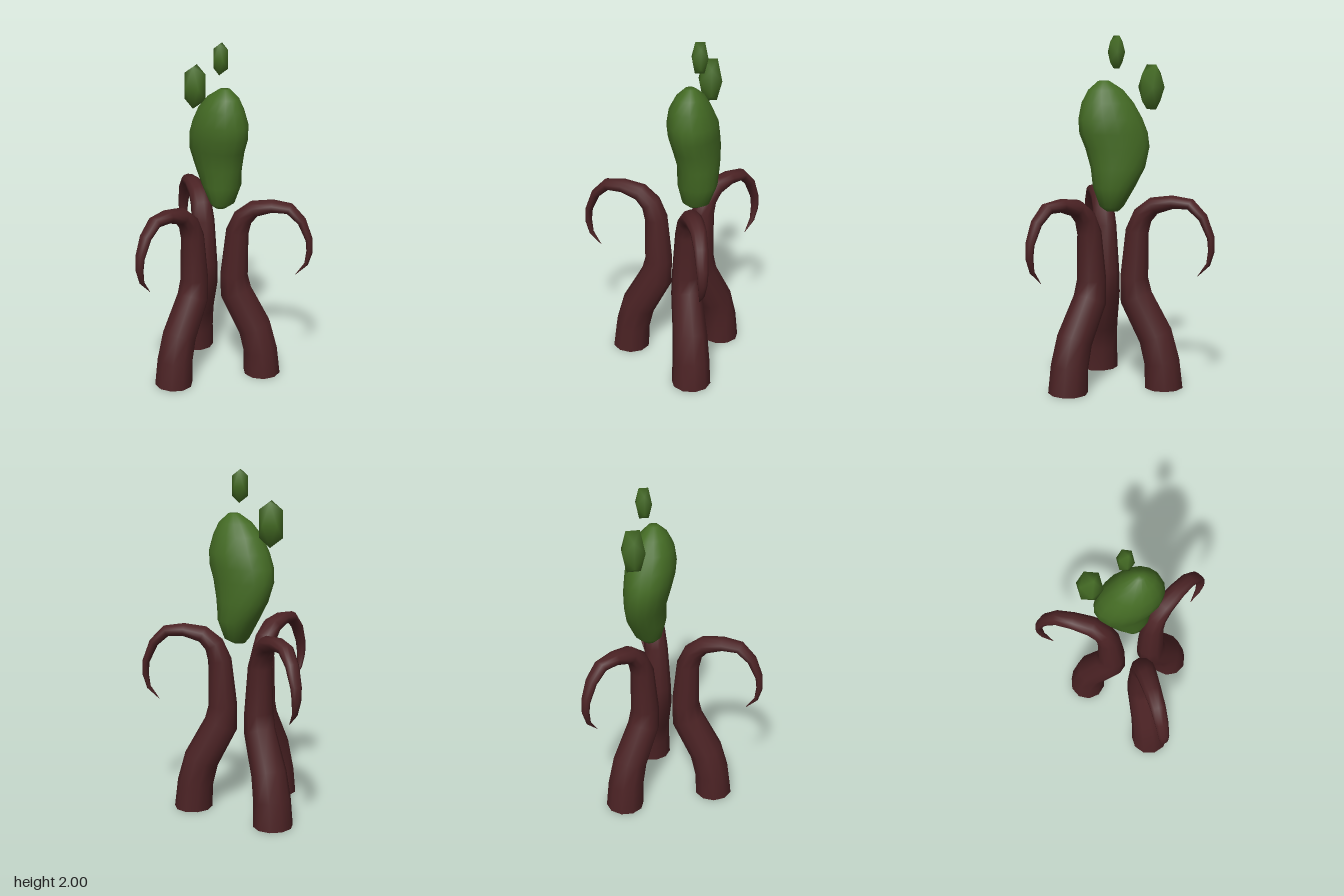
import * as THREE from 'three';
import { mergeVertices } from 'three/addons/utils/BufferGeometryUtils.js';

const AXIS_Z = -0.148; // the three tentacles turn about this line

// Closed skin over a list of rings (arrays of Vector3, counter-clockwise seen from the end)
function skin(rings, flatStart) {
  const n = rings[0].length, pos = [], idx = [];
  rings.forEach(r => r.forEach(p => pos.push(p.x, p.y, p.z)));
  for (let i = 0; i < rings.length - 1; i++) {
    for (let j = 0; j < n; j++) {
      const a = i * n + j, b = i * n + (j + 1) % n;
      idx.push(a, b, b + n, a, b + n, a + n);
    }
  }
  const cap = (ring, flip, base) => {
    const c = ring.reduce((s, p) => s.add(p), new THREE.Vector3()).divideScalar(n);
    if (base < 0) { // own vertices keep the rim sharp
      base = pos.length / 3;
      ring.forEach(p => pos.push(p.x, p.y, p.z));
    }
    const k = pos.length / 3;
    pos.push(c.x, c.y, c.z);
    for (let j = 0; j < n; j++) {
      const a = base + j, b = base + (j + 1) % n;
      flip ? idx.push(k, b, a) : idx.push(k, a, b);
    }
  };
  cap(rings[0], true, flatStart ? -1 : 0);
  cap(rings[rings.length - 1], false, (rings.length - 1) * n);
  const g = new THREE.BufferGeometry();
  g.setAttribute('position', new THREE.Float32BufferAttribute(pos, 3));
  g.setIndex(idx);
  g.computeVertexNormals();
  return g;
}

// Tentacle: z, y, half thickness in the bending plane, half width across
function tentacleGeometry() {
  const path = [
    [0.175, 0, 0.112, 0.115], [0.163, 0.15, 0.105, 0.109], [0.125, 0.296, 0.103, 0.102],
    [0.008, 0.515, 0.099, 0.09], [-0.004, 0.63, 0.083, 0.084], [0.012, 0.9, 0.068, 0.07],
    [0.045, 0.99, 0.059, 0.064], [0.11, 1.05, 0.05, 0.06], [0.22, 1.075, 0.038, 0.052],
    [0.32, 1.067, 0.033, 0.046], [0.394, 0.995, 0.027, 0.04], [0.44, 0.885, 0.021, 0.033],
    [0.445, 0.81, 0.019, 0.027], [0.427, 0.73, 0.012, 0.017], [0.366, 0.658, 0.001, 0.001],
  ];
  const rings = path.map(([z, y, t, w], i) => {
    const a = path[Math.max(i - 1, 0)], b = path[Math.min(i + 1, path.length - 1)];
    // the foot stands level, the other rings follow the bend
    const d = i === 0 ? new THREE.Vector2(0, 1) : new THREE.Vector2(b[0] - a[0], b[1] - a[1]).normalize();
    return Array.from({ length: 10 }, (_, j) => {
      const u = (j + 0.5) / 10 * Math.PI * 2;
      const s = -Math.sin(u) * t;
      return new THREE.Vector3(Math.cos(u) * w, y - s * d.x, z - AXIS_Z + s * d.y);
    });
  });
  return skin(rings, true);
}

// Head: y, centre x, half width, centre z, half depth
function headGeometry() {
  const sections = [
    [1.02, 0.005, 0.035, -0.225, 0.035], [1.05, 0.012, 0.068, -0.235, 0.08],
    [1.16, 0, 0.12, -0.24, 0.115], [1.27, -0.025, 0.157, -0.237, 0.118],
    [1.38, -0.025, 0.185, -0.222, 0.133], [1.46, -0.005, 0.196, -0.213, 0.14],
    [1.54, 0.013, 0.183, -0.209, 0.141], [1.63, 0.028, 0.148, -0.2, 0.116],
    [1.7, 0.04, 0.1, -0.203, 0.08], [1.75, 0.05, 0.032, -0.205, 0.03],
  ];
  return skin(sections.map(([y, cx, rx, cz, rz]) => Array.from({ length: 16 }, (_, j) => {
    const u = -j / 16 * Math.PI * 2;
    return new THREE.Vector3(cx + Math.cos(u) * rx, y, cz + Math.sin(u) * rz);
  })), false);
}

// Low-poly droplet with smooth normals, its top ridge turned a little off the z axis
function dropletGeometry(scale) {
  let g = new THREE.IcosahedronGeometry(1, 0);
  g.deleteAttribute('uv');
  g.deleteAttribute('normal');
  g = mergeVertices(g, 1e-4);
  g.rotateY(Math.PI / 2 + 0.44);
  g.scale(...scale);
  g.computeVertexNormals();
  return g;
}

export function createModel() {
  const model = new THREE.Group();
  const maroon = new THREE.MeshStandardMaterial({ color: 0x4b2224 });
  maroon.name = 'dark maroon';
  const green = new THREE.MeshStandardMaterial({ color: 0x446b24 });
  green.name = 'moss green';

  const add = (name, geometry, material) => {
    const mesh = new THREE.Mesh(geometry, material);
    mesh.name = name;
    model.add(mesh);
    return mesh;
  };

  // Three tentacles around a common axis
  const tentacle = tentacleGeometry();
  ['frontTentacle', 'backLeftTentacle', 'backRightTentacle'].forEach((name, i) => {
    const mesh = add(name, tentacle, maroon);
    mesh.position.z = AXIS_Z;
    mesh.rotation.y = i * Math.PI * 2 / 3;
  });

  // Lumpy head
  add('head', headGeometry(), green);

  // Droplets floating above the head
  add('largeDroplet', dropletGeometry([0.078, 0.147, 0.074]), green).position.set(-0.215, 1.715, -0.237);
  add('smallDroplet', dropletGeometry([0.051, 0.106, 0.051]), green).position.set(-0.014, 1.91, -0.238);
  return model;
}
